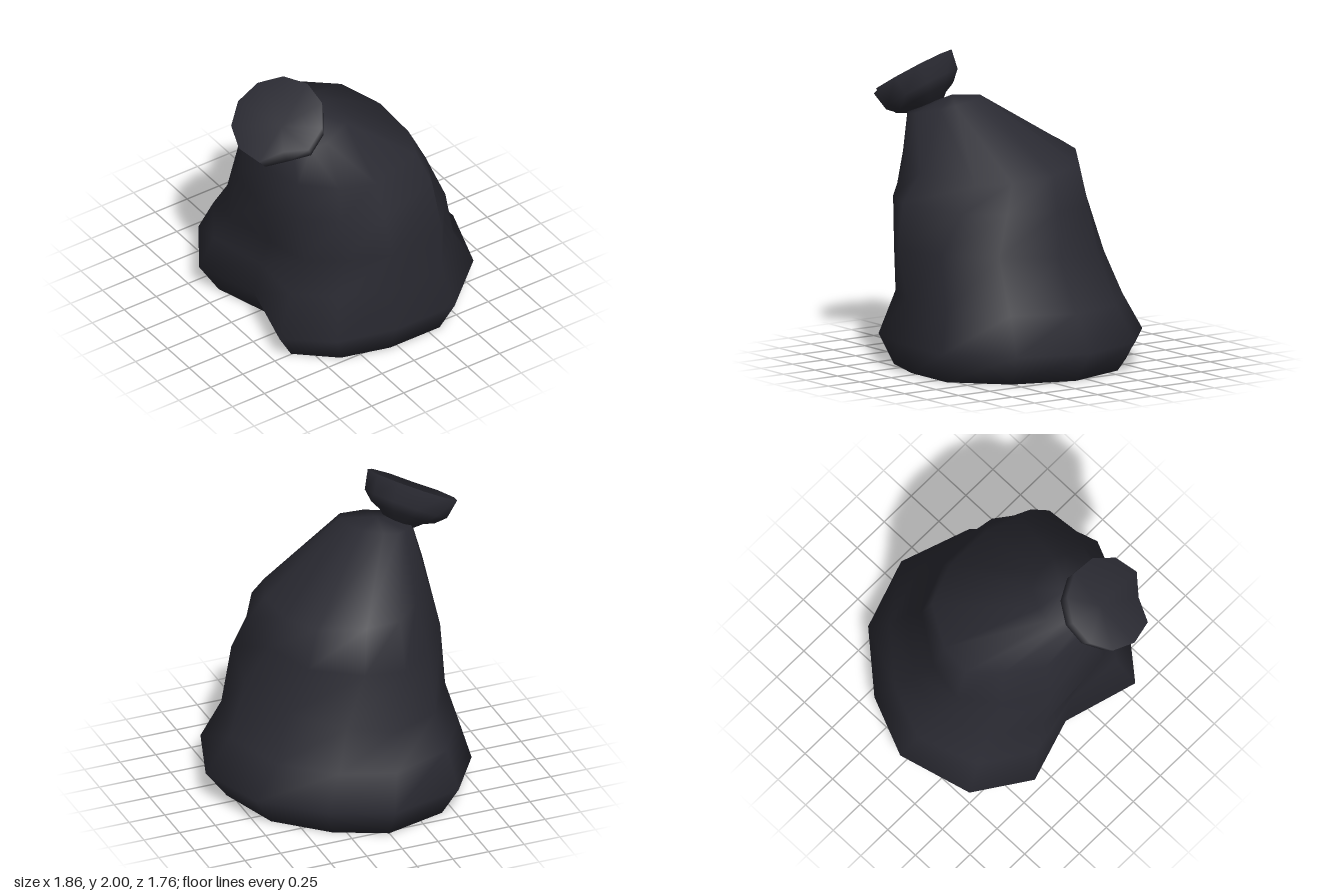
import * as THREE from 'three';

// Closed smooth skin over a stack of equal-length rings, capped at both ends.
function skin(rings, bottom, top) {
  const n = rings[0].length, pos = [], idx = [];
  rings.forEach(r => r.forEach(p => pos.push(...p.toArray())));
  const b = rings.length * n, t = b + 1, last = b - n;
  pos.push(...bottom.toArray(), ...top.toArray());
  for (let j = 0; j < n; j++) {
    const k = (j + 1) % n;
    for (let i = 0; i < rings.length - 1; i++) {
      const a = i * n + j, c = i * n + k;
      idx.push(a, a + n, c, c, a + n, c + n);
    }
    idx.push(b, j, k, t, last + k, last + j);
  }
  const g = new THREE.BufferGeometry();
  g.setAttribute('position', new THREE.Float32BufferAttribute(pos, 3));
  g.setIndex(idx);
  g.computeVertexNormals();
  return g;
}

// Scales an outline so that it spans -1 to 1 both ways.
function normalise(points) {
  const box = new THREE.Box2().setFromPoints(points.map(p => new THREE.Vector2(...p)));
  const c = box.getCenter(new THREE.Vector2()), s = box.getSize(new THREE.Vector2());
  return points.map(([x, z]) => [(x - c.x) / s.x * 2, (z - c.y) / s.y * 2]);
}

// Outlines (x, z) of the slumped base, with a dent, and of the lopsided shoulder.
const base = normalise([
  [0, -0.88], [0.4, -0.71], [0.77, -0.39], [0.93, 0.08], [0.77, 0.55], [0.4, 0.88],
  [-0.06, 0.88], [-0.45, 0.78], [-0.74, 0.54], [-0.6, 0.04], [-0.74, -0.39], [-0.5, -0.75],
]);
const shoulder = normalise([
  [-0.2, -0.48], [0.02, -0.45], [0.3, -0.28], [0.41, 0], [0.41, 0.33], [0.32, 0.56],
  [-0.1, 0.7], [-0.35, 0.65], [-0.57, 0.5], [-0.66, 0.25], [-0.55, -0.1], [-0.38, -0.32],
]);

// Fits the blended outline to the extents; heights differ per side and
// pinch draws in the front corner on the -x side.
function sackRing([x0, x1, z0, z1, yl, yr, yf, yb, blend, pinch]) {
  return base.map(([bu, bv], i) => {
    let u = THREE.MathUtils.lerp(bu, shoulder[i][0], blend);
    let v = THREE.MathUtils.lerp(bv, shoulder[i][1], blend);
    const s = u < 0 && v > 0 ? 1 + pinch * u * v : 1;
    u *= s; v *= s;
    return new THREE.Vector3(
      (x0 + x1) / 2 + u * (x1 - x0) / 2,
      (yl + yr + yf + yb) / 4 + u * (yr - yl) / 2 + v * (yf - yb) / 2,
      (z0 + z1) / 2 + v * (z1 - z0) / 2);
  });
}

function sackGeometry() {
  const rings = [
    // xMin, xMax, zMin, zMax, yLeft, yRight, yFront, yBack, blend, pinch
    [-0.62, 0.78, -0.78, 0.80, 0, 0, 0, 0, 0, 0],
    [-0.74, 0.93, -0.88, 0.88, 0.2, 0.2, 0.2, 0.2, 0, 0],
    [-0.70, 0.76, -0.77, 0.84, 0.45, 0.41, 0.5, 0.45, 0.15, 0.15],
    [-0.68, 0.64, -0.66, 0.90, 0.68, 0.76, 0.85, 0.70, 0.35, 0.25],
    [-0.74, 0.50, -0.56, 0.83, 1.08, 1.06, 1.12, 1.05, 0.85, 0.2],
    [-0.66, 0.41, -0.48, 0.70, 1.37, 1.26, 1.32, 1.39, 1, 0],
    [-0.62, -0.14, 0.06, 0.54, 1.64, 1.73, 1.62, 1.69, 1, 0],
  ].map(sackRing);
  return skin(rings, new THREE.Vector3(0.08, 0, 0), new THREE.Vector3(-0.35, 1.73, 0.27));
}

// Gathered opening: a tilted flaring cup with one notch in its lip.
function ruffleGeometry() {
  const sides = 11, notch = 3;
  const centre = new THREE.Vector3(-0.65, 1.845, 0.385);
  const axis = new THREE.Vector3(-0.46, 0.85, 0.25).normalize();
  const u = new THREE.Vector3(1, 0, 0).addScaledVector(axis, -axis.x).normalize();
  const v = new THREE.Vector3().crossVectors(u, axis);
  const at = h => centre.clone().addScaledVector(axis, h);
  // radius, height along the axis, notch scale
  const rings = [
    [0.08, -0.28, 1], [0.15, -0.22, 1], [0.22, -0.19, 0.95],
    [0.285, -0.13, 0.85], [0.31, 0, 0.75],
  ].map(([r, h, dent]) => Array.from({ length: sides }, (_, j) => {
    const a = (j + 0.5) / sides * Math.PI * 2;
    const k = r * (j === notch ? dent : 1);
    return at(h).addScaledVector(u, Math.cos(a) * k).addScaledVector(v, Math.sin(a) * k);
  }));
  return skin(rings, at(-0.28), at(-0.1));
}

export function createModel() {
  const plastic = new THREE.MeshStandardMaterial({ color: 0x2a2a32 });
  plastic.name = 'dark plastic';
  const group = new THREE.Group();
  group.name = 'tiedSack';
  for (const [name, geometry] of [['sackBody', sackGeometry()], ['gatheredTop', ruffleGeometry()]]) {
    const mesh = new THREE.Mesh(geometry, plastic);
    mesh.name = name;
    group.add(mesh);
  }
  return group;
}
